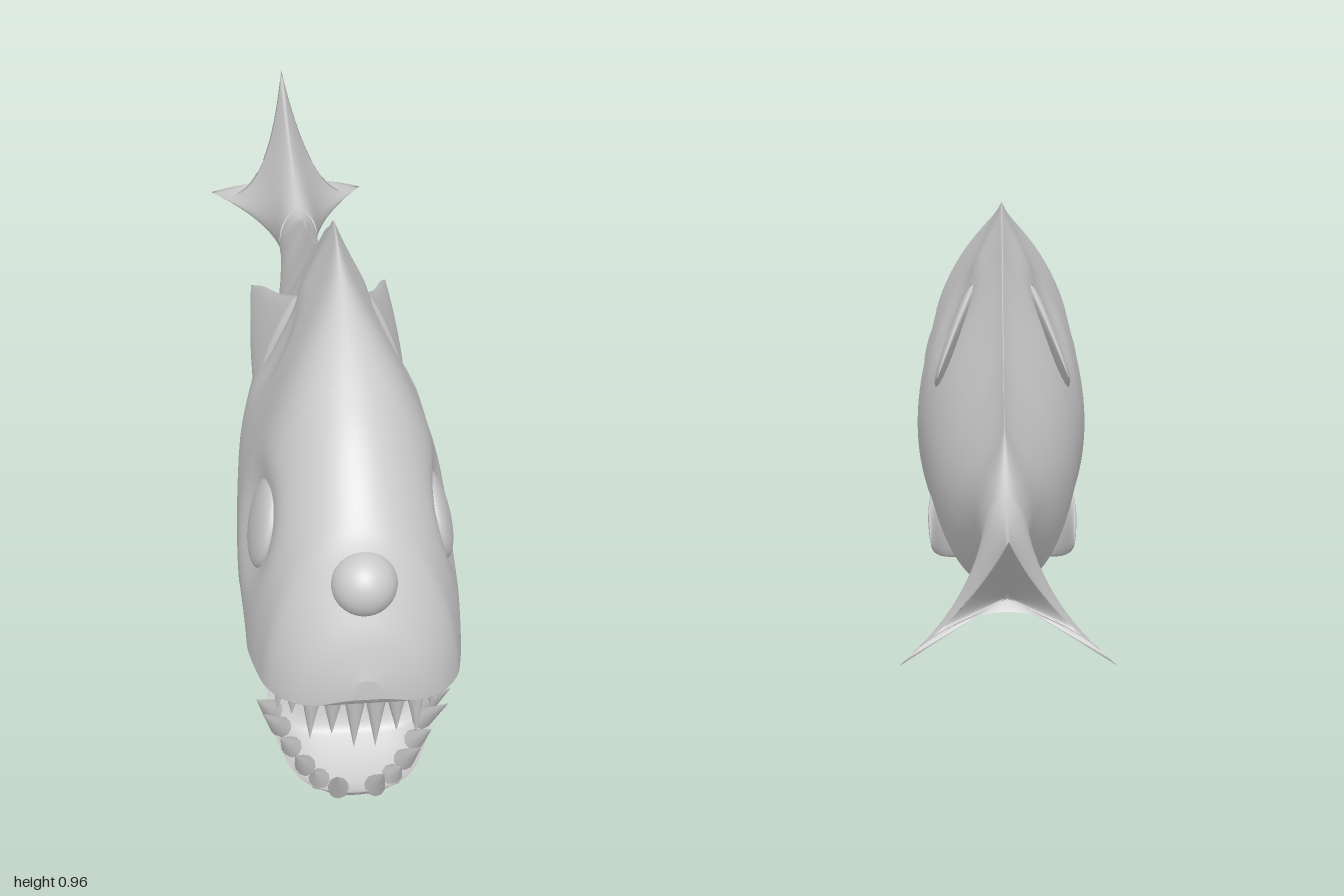
import * as THREE from 'three';
import { mergeVertices } from 'three/addons/utils/BufferGeometryUtils.js';

const V = (x, y, z) => new THREE.Vector3(x, y, z);
const skin = new THREE.MeshStandardMaterial({ color: 0xcccccc, roughness: 0.6, side: THREE.DoubleSide });
const { smoothstep, lerp } = THREE.MathUtils;

// Smooth curve through [z, value] pairs, listed by rising z
function table(p) {
  const slope = i => {
    const a = p[Math.max(i - 1, 0)], b = p[Math.min(i + 1, p.length - 1)];
    return (b[1] - a[1]) / (b[0] - a[0]);
  };
  return z => {
    z = Math.min(Math.max(z, p[0][0]), p[p.length - 1][0]);
    let i = 0;
    while (i < p.length - 2 && z > p[i + 1][0]) i++;
    const h = p[i + 1][0] - p[i][0], t = (z - p[i][0]) / h, u = 1 - t;
    return p[i][1] * u * u * (1 + 2 * t) + p[i + 1][1] * t * t * (3 - 2 * t)
      + h * t * u * (u * slope(i) - t * slope(i + 1));
  };
}

const top = table([[-0.5, 0.565], [-0.4, 0.58], [-0.3, 0.625], [-0.2, 0.65], [-0.1, 0.685], [0, 0.725],
  [0.1, 0.79], [0.2, 0.86], [0.3, 0.92], [0.36, 0.96], [0.4, 0.96], [0.5, 0.925], [0.6, 0.88], [0.7, 0.82],
  [0.8, 0.745], [0.9, 0.64], [0.93, 0.585], [0.955, 0.535], [0.98, 0.48], [1, 0.41]]);
const bottom = table([[-0.5, 0.425], [-0.4, 0.415], [-0.3, 0.375], [-0.2, 0.33], [-0.1, 0.275], [0, 0.215],
  [0.1, 0.16], [0.2, 0.13], [0.4, 0.095], [0.6, 0.04], [0.75, 0.008], [0.8, 0.002], [0.84, 0.01],
  [0.86, 0.025], [0.875, 0.044], [0.9, 0.1], [0.95, 0.19], [1, 0.33]]);
const width = table([[-0.5, 0.044], [-0.4, 0.045], [-0.2, 0.068], [0, 0.12], [0.2, 0.16], [0.4, 0.186],
  [0.6, 0.199], [0.8, 0.192], [0.9, 0.174], [0.94, 0.152], [0.97, 0.12], [0.99, 0.075], [1, 0.03]]);
const upperLip = table([[0.7, 0.24], [0.715, 0.28], [0.74, 0.305], [0.8, 0.325], [0.9, 0.338], [0.95, 0.342],
  [0.985, 0.35], [1, 0.37]]);
const lowerLip = table([[0.7, 0.24], [0.71, 0.19], [0.73, 0.145], [0.76, 0.115], [0.8, 0.085], [0.84, 0.06],
  [0.86, 0.05], [0.875, 0.045]]);

// Half width of the body at a point of its side: round belly and head, ridged back
function half(z, y) {
  const s = (y - bottom(z)) / (top(z) - bottom(z));
  if (s <= 0 || s >= 1) return 0;
  if (s < 0.4) return width(z) * Math.sqrt(1 - (1 - s / 0.4) ** 2);
  const t = (s - 0.4) / 0.6;
  const ridge = 0.93 * smoothstep(z, -0.5, -0.2) * (1 - smoothstep(z, 0.38, 0.72));
  return width(z) * lerp(Math.sqrt(1 - t * t), Math.cos(t * Math.PI / 2) ** 1.25, ridge);
}
// Hollows pressed into the side as [z, y, radius, depth]: eye socket, mouth corner, in front of the fin
const EYE = { y: 0.54, z: 0.7 };
const hollows = [[EYE.z, EYE.y, 0.1, 0.022], [0.68, 0.24, 0.09, 0.03], [0.37, 0.72, 0.09, 0.015]];
const side = (z, y) => Math.max(0, hollows.reduce((x, [hz, hy, r, d]) =>
  x - d * Math.exp(-((Math.hypot(z - hz, y - hy) / r) ** 4)), half(z, y)));

// Skin over rings that run anticlockwise about the direction of travel
function loft(rows, capStart, capEnd) {
  const n = rows[0].length, pos = rows.flat().flatMap(p => p.toArray()), idx = [];
  for (let i = 0; i < rows.length - 1; i++) for (let j = 0; j < n; j++) {
    const a = i * n + j, b = i * n + (j + 1) % n;
    idx.push(a, b, a + n, b, b + n, a + n);
  }
  const cap = (r, flip) => {
    const c = pos.length / 3, mid = rows[r].reduce((m, p) => m.add(p), V(0, 0, 0)).divideScalar(n);
    pos.push(...mid.toArray());
    for (let j = 0; j < n; j++) {
      const a = r * n + j, b = r * n + (j + 1) % n;
      idx.push(c, flip ? b : a, flip ? a : b);
    }
  };
  if (capStart) cap(0, true);
  if (capEnd) cap(rows.length - 1, false);
  let g = new THREE.BufferGeometry();
  g.setAttribute('position', new THREE.Float32BufferAttribute(pos, 3));
  g.setIndex(idx);
  g = mergeVertices(g, 1e-5);
  g.computeVertexNormals();
  return g;
}

// Heights from y0 to y1, closer together at both ends
const N = 36;
const heights = (y0, y1) =>
  Array.from({ length: N + 1 }, (_, k) => y0 + (y1 - y0) * (1 - Math.cos(Math.PI * k / N)) / 2);

// Ring of the body through the given heights; open ends are bridged with an arch or dip
function ring(z, ys, arch = 0, dip = 0) {
  const m = 14, y0 = ys[0], y1 = ys[ys.length - 1];
  const right = ys.map(y => V(side(z, y), y, z));
  const left = ys.map(y => V(-side(z, y), y, z)).reverse();
  const bridge = (y, w, bend) => Array.from({ length: m - 1 }, (_, k) => {
    const u = 2 * (k + 1) / m - 1;
    return V(u * w, y + bend * (1 - u ** 4), z);
  });
  return [...right, ...bridge(y1, -side(z, y1), -dip), ...left, ...bridge(y0, side(z, y0), arch)];
}

const rings = (n, z0, z1, make, ease = t => t) =>
  Array.from({ length: n + 1 }, (_, i) => make(lerp(z0, z1, ease(i / n))));

// Thin fin between two edges that run from root to a shared tip
function blade(edgeA, edgeB, thick) {
  const a = new THREE.CatmullRomCurve3(edgeA), b = new THREE.CatmullRomCurve3(edgeB);
  const chord = a.getPoint(0).sub(b.getPoint(0));
  const dir = edgeA[edgeA.length - 1].clone().sub(b.getPoint(0).addScaledVector(chord, 0.5));
  const normal = dir.cross(chord).normalize();
  return loft(rings(20, 0, 1, u => {
    const p = a.getPoint(u), q = b.getPoint(u);
    const mid = p.clone().add(q).multiplyScalar(0.5), arm = p.sub(q).multiplyScalar(0.5);
    return Array.from({ length: 16 }, (_, j) => {
      const t = j / 16 * Math.PI * 2;
      return mid.clone().addScaledVector(arm, Math.cos(t)).addScaledVector(normal, Math.sin(t) * thick * (1 - u));
    });
  }), true, false);
}

// Tail: flares from the round stalk to three points with scalloped edges, hollow behind
function tailGeometry() {
  const tips = [V(0.185, 0.42, -0.88), V(0, 0.69, -1), V(-0.185, 0.42, -0.88)];
  const valleys = [V(0.075, 0.5, -0.81), V(-0.075, 0.5, -0.81), V(0, 0.485, -0.8)];
  const edge = tips.flatMap((a, i) => {
    const b = tips[(i + 1) % 3], mid = a.clone().add(b).multiplyScalar(0.5);
    const curve = new THREE.QuadraticBezierCurve3(a, valleys[i].clone().multiplyScalar(2).sub(mid), b);
    return Array.from({ length: 20 }, (_, k) => curve.getPoint(k / 20));
  });
  const z0 = -0.46, cy = (top(z0) + bottom(z0)) / 2, ry = (top(z0) - bottom(z0)) / 2;
  const hub = V(0, 0.5, -0.77);
  const flare = rings(28, 1, 0, u => edge.map((p, j) => {
    const t = j / edge.length * Math.PI * 2 - Math.PI / 6, f = u ** 1.6;
    return V(lerp(width(z0) * Math.cos(t), p.x, f), lerp(cy + ry * Math.sin(t), p.y, f), lerp(z0, p.z, u));
  }));
  return loft([edge.map(p => p.clone().lerp(hub, 0.9)), ...flare], true, false);
}

export function createModel() {
  const model = new THREE.Group();
  const add = (name, geo) => {
    const mesh = new THREE.Mesh(geo, skin);
    mesh.name = name;
    model.add(mesh);
    return mesh;
  };
  const easeEnds = t => (1 - Math.cos(Math.PI * t)) / 2;

  // Body and the two jaws that meet it at the mouth corner
  add('body', loft(rings(90, -0.46, 0.7, z => {
    const split = lerp(bottom(z), top(z), 0.285);
    const mouth = lerp(split, 0.24, smoothstep(z, 0.5, 0.7));
    return ring(z, [...heights(bottom(z), mouth), ...heights(mouth, top(z)).slice(1)]);
  }), false, false));
  add('upperHead', loft(rings(40, 0.7, 1, z => ring(z, heights(upperLip(z), top(z)),
    0.05 * smoothstep(z, 0.7, 0.76) * (1 - smoothstep(z, 0.86, 0.95))), easeEnds), false, true));
  add('lowerJaw', loft(rings(28, 0.7, 0.875, z => ring(z, heights(bottom(z), lowerLip(z)), 0,
    0.45 * (lowerLip(z) - bottom(z)) * smoothstep(z, 0.7, 0.74)), easeEnds), false, true));
  add('tail', tailGeometry());

  // Eye in the middle of the forehead
  add('frontEye', new THREE.SphereGeometry(0.058, 32, 24)).position.set(0, 0.56, 0.921);

  // Teeth as [x, z, length], from the middle of the lip to the mouth corner
  const upperTeeth = [[0.018, 0.968, 0.115], [0.055, 0.958, 0.09], [0.09, 0.942, 0.11], [0.12, 0.912, 0.075],
    [0.14, 0.87, 0.095], [0.156, 0.82, 0.07], [0.166, 0.77, 0.06]];
  const lowerTeeth = [[0.034, 0.855, 0.11], [0.068, 0.838, 0.07], [0.092, 0.815, 0.105], [0.115, 0.785, 0.09],
    [0.132, 0.755, 0.125], [0.146, 0.732, 0.1]];

  for (const s of [1, -1]) {
    const tag = s > 0 ? 'left' : 'right';
    const pts = list => list.map(([x, y, z]) => V(s * x, y, z));

    // Side eye, bulging flat in its socket
    const eye = add(tag + 'Eye', new THREE.SphereGeometry(1, 32, 24));
    eye.scale.set(0.026, 0.085, 0.085);
    eye.position.set(s * (half(EYE.z, EYE.y) - 0.026), EYE.y, EYE.z);
    eye.rotation.z = s * 0.22;

    // Swept-back fins
    add(tag + 'UpperFin', blade(
      pts([[0.06, 0.795, 0.34], [0.09, 0.745, 0.24], [0.118, 0.698, 0.12], [0.137, 0.66, 0.045]]),
      pts([[0.145, 0.55, 0.33], [0.146, 0.59, 0.22], [0.142, 0.63, 0.12], [0.137, 0.66, 0.045]]), 0.018));
    add(tag + 'LowerFin', blade(
      pts([[0.155, 0.315, 0.36], [0.162, 0.302, 0.25], [0.16, 0.288, 0.16], [0.157, 0.265, 0.1]]),
      pts([[0.09, 0.13, 0.37], [0.135, 0.18, 0.25], [0.15, 0.225, 0.16], [0.157, 0.265, 0.1]]), 0.018));

    // Teeth along both lips
    const tooth = (name, [x, z, len], y, dir) => {
      const mesh = add(name, new THREE.ConeGeometry(0.02, len, 10).translate(0, len / 2, 0));
      mesh.position.set(s * x, y, z);
      mesh.quaternion.setFromUnitVectors(V(0, 1, 0), dir.normalize());
    };
    upperTeeth.forEach(t => tooth(tag + 'UpperTooth', t, upperLip(t[1]) + 0.01, V(s * t[0] * 0.4, -1, 0.02)));
    lowerTeeth.forEach(t => tooth(tag + 'LowerTooth', t, lowerLip(t[1]) - 0.012, V(s * t[0] * 3, 1, 0.75)));
  }
  return model;
}
